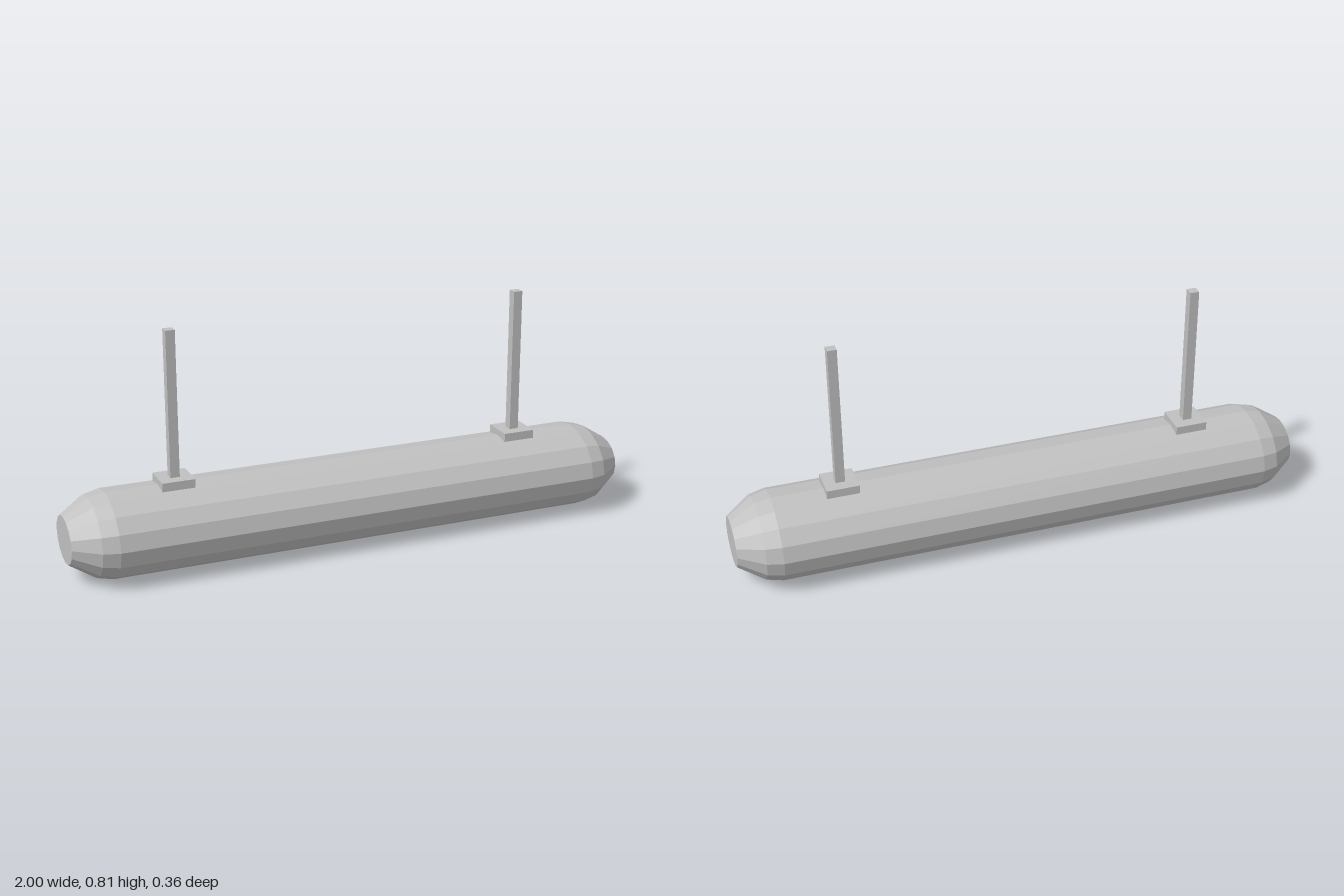
import * as THREE from 'three';

export function createModel() {
  const model = new THREE.Group();
  const grey = new THREE.MeshStandardMaterial({ color: 0xc0c0c0 });
  grey.name = 'light grey';

  // Faceted tube body: 16-sided, bevelled at both ends, flattened in height
  const end = [[0, 1], [0.1, 1], [0.166, 0.915], [0.181, 0.86]];
  const profile = [
    ...end.map(([r, x]) => new THREE.Vector2(r, -x)),
    ...end.slice().reverse().map(([r, x]) => new THREE.Vector2(r, x)),
  ];
  const shell = new THREE.LatheGeometry(profile, 16).toNonIndexed();
  shell.rotateZ(-Math.PI / 2);
  shell.scale(1, 0.803, 1);
  shell.computeVertexNormals();
  const body = new THREE.Mesh(shell, grey);
  body.name = 'lampBody';
  body.position.y = 0.147;
  model.add(body);

  // Hangers: a mounting plate and a square rod near each end
  const box = (name, w, bottom, top) => {
    const mesh = new THREE.Mesh(new THREE.BoxGeometry(w, top - bottom, w), grey);
    mesh.name = name;
    mesh.position.y = (bottom + top) / 2;
    return mesh;
  };
  for (const side of [-1, 1]) {
    const hanger = new THREE.Group();
    hanger.name = side > 0 ? 'leftHanger' : 'rightHanger';
    hanger.add(box('mountingPlate', 0.112, 0.283, 0.313));
    hanger.add(box('hangingRod', 0.032, 0.313, 0.813));
    hanger.position.x = side * 0.625;
    model.add(hanger);
  }
  return model;
}
